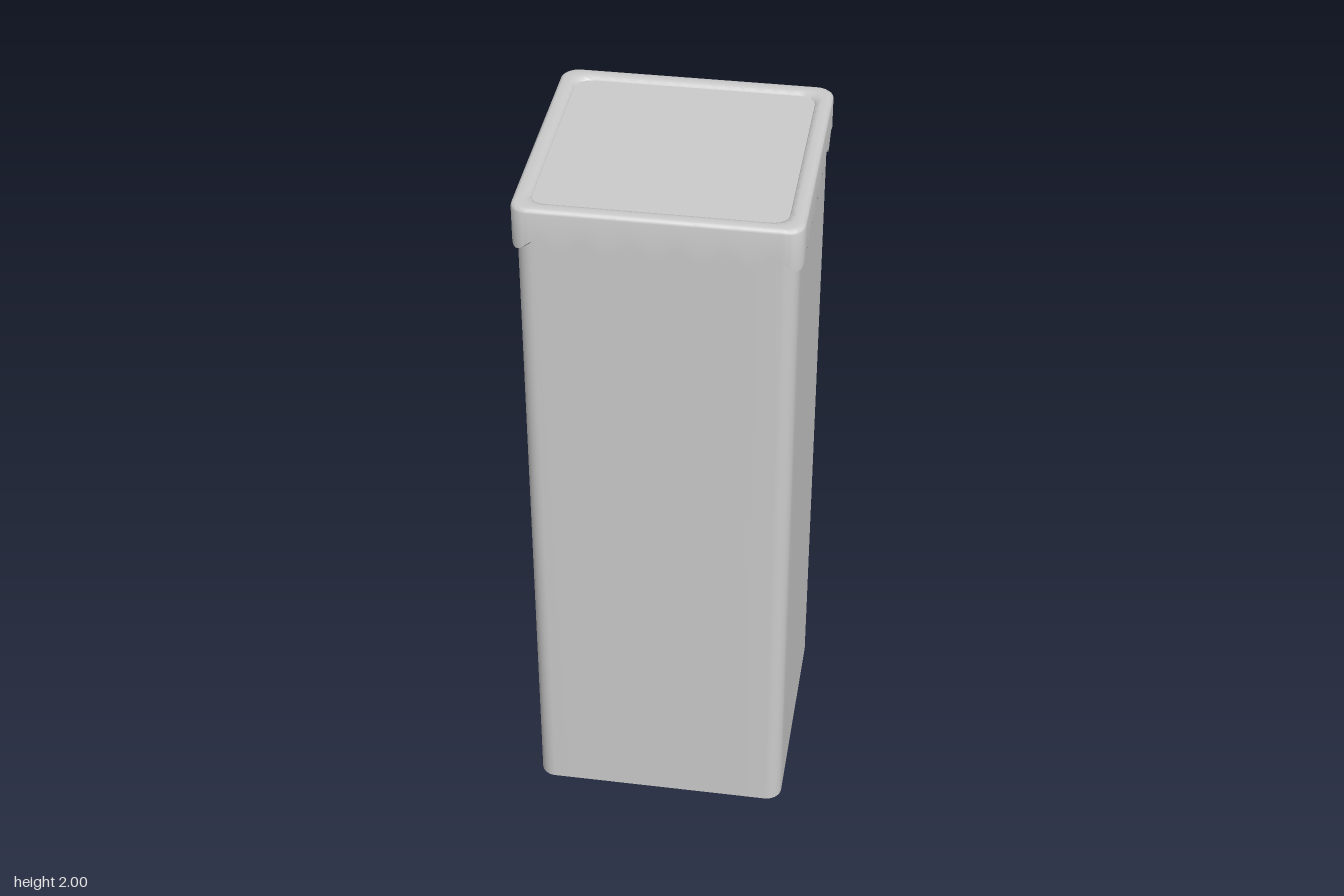
import * as THREE from 'three';
import { toCreasedNormals } from 'three/addons/utils/BufferGeometryUtils.js';

const WAVES = 24; // scallops around the whole cap

// Rounded square outline of half-width h and corner radius r; u is the fraction of the way round.
function outline(h, r, sideSegs, cornerSegs = 8) {
  const c = h - r, side = 2 * c, arc = r * Math.PI / 2, total = 4 * (side + arc);
  const pts = [];
  for (let q = 0; q < 4; q++) {
    const a0 = q * Math.PI / 2, cos = Math.cos(a0), sin = Math.sin(a0);
    const add = (x, z, d) => pts.push({
      x: x * cos - z * sin, z: x * sin + z * cos, u: (q * (side + arc) + d) / total,
    });
    for (let i = 0; i < sideSegs; i++) {
      const d = side * i / sideSegs;
      add(h, -c + d, d - side / 2);
    }
    for (let i = 0; i < cornerSegs; i++) {
      const a = i / cornerSegs * Math.PI / 2;
      add(c + r * Math.cos(a), c + r * Math.sin(a), side / 2 + r * a);
    }
  }
  return pts;
}

// Joins rings [halfWidth, radius, height or height(u)] into a skin; halfWidth 0 closes at the centre.
function loft(rings, sideSegs, crease) {
  const loops = rings.map(([h, r, y]) => outline(h, r, sideSegs).map(p =>
    [p.x, typeof y === 'function' ? y(p.u) : y, p.z]));
  const pos = [];
  for (let j = 0; j + 1 < loops.length; j++) {
    const A = loops[j], B = loops[j + 1], n = A.length;
    for (let i = 0; i < n; i++) {
      const k = (i + 1) % n;
      if (rings[j + 1][0] > 0) pos.push(...A[i], ...B[i], ...B[k]);
      if (rings[j][0] > 0) pos.push(...A[i], ...B[k], ...A[k]);
    }
  }
  const g = new THREE.BufferGeometry();
  g.setAttribute('position', new THREE.Float32BufferAttribute(pos, 3));
  return toCreasedNormals(g, crease);
}

export function createModel() {
  const group = new THREE.Group();
  const material = new THREE.MeshStandardMaterial({ color: 0xcccccc });
  const addPart = (name, geometry) => {
    const mesh = new THREE.Mesh(geometry, material);
    mesh.name = name;
    group.add(mesh);
  };

  // Tall square body with rounded upright edges and a flat base
  addPart('body', loft([[0, 0, 0], [0.363, 0.045, 0], [0.363, 0.045, 1.97]], 8, 0.7));

  // Cap: scalloped hem, skirt, softened top edge and a lip dipping to the panel
  const hem = u => 1.894 - 0.016 * Math.cos(2 * Math.PI * WAVES * u);
  addPart('cap', loft([
    [0.362, 0.044, hem],
    [0.375, 0.045, hem],
    [0.375, 0.045, 1.988],
    [0.3735, 0.045, 1.994],
    [0.37, 0.045, 1.998],
    [0.364, 0.045, 2],
    [0.346, 0.045, 2],
    [0.337, 0.045, 1.998],
    [0.332, 0.045, 1.995],
    [0.329, 0.045, 1.99],
  ], 72, 0.8));

  // Flat panel set slightly below the rim
  addPart('topPanel', loft([[0.33, 0.045, 1.99], [0, 0, 1.99]], 8, 0.5));

  return group;
}
